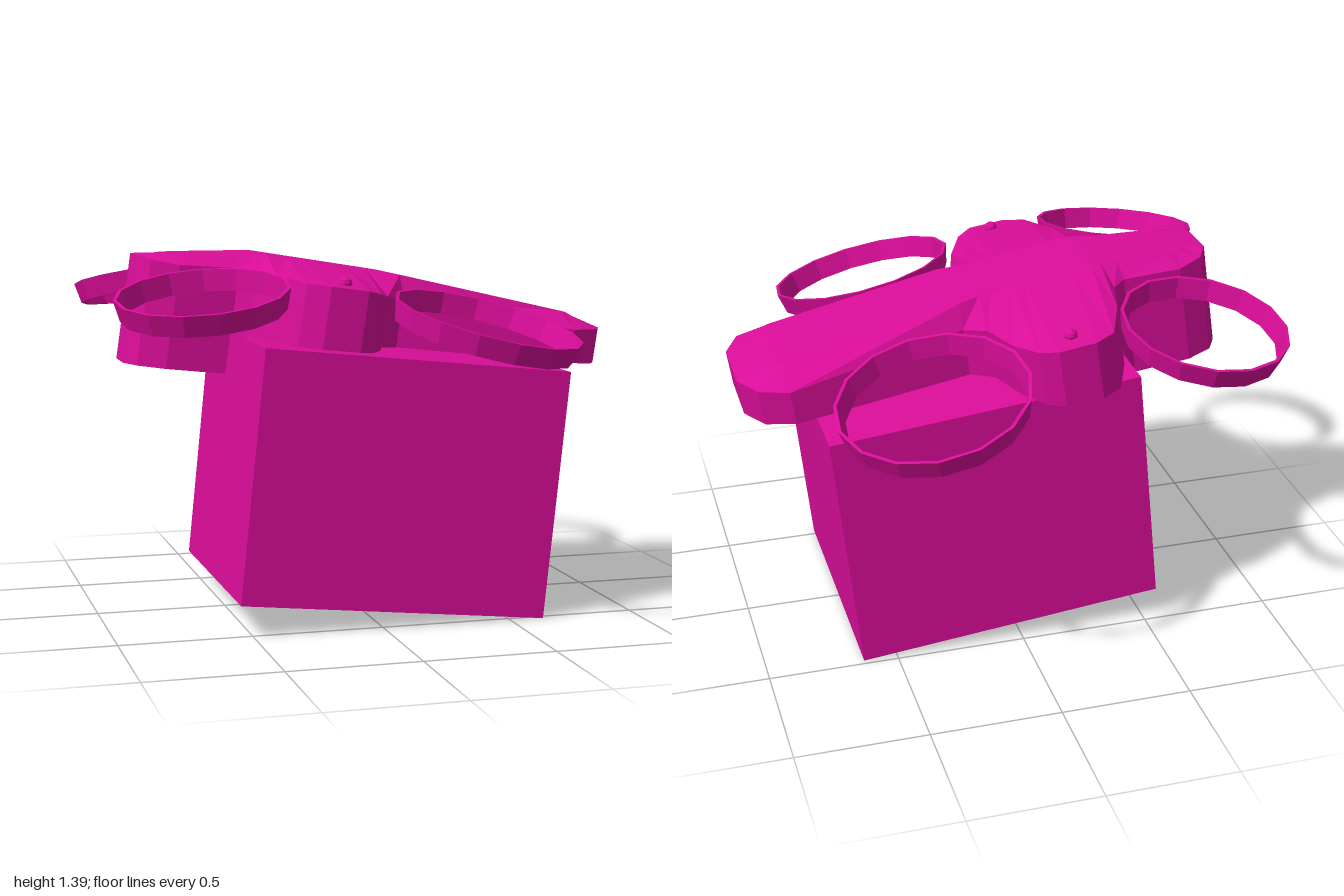
import * as THREE from 'three';

const material = new THREE.MeshStandardMaterial({ color: 0xd90d98, flatShading: true, side: THREE.DoubleSide });

function addMesh(parent, name, geometry, x = 0, y = 0, z = 0) {
  const mesh = new THREE.Mesh(geometry, material);
  mesh.name = name;
  mesh.position.set(x, y, z);
  parent.add(mesh);
  return mesh;
}

// Height of the body's top ridge, falling towards the nose
function ridgeY(x) {
  if (x < -0.37) return 1.395;
  if (x < 0.15) return THREE.MathUtils.mapLinear(x, -0.37, 0.15, 1.395, 1.31);
  return THREE.MathUtils.mapLinear(x, 0.15, 0.84, 1.31, 1.15);
}

// Height of the underside, with a deeper block at the tail
function undersideY(x) {
  return x < -0.45 ? 0.955 - 0.11 * (x + 0.52) : 1.045 - 0.107 * (x - 0.05);
}

// Half outline from nose to tail: rim x, z, y, then ridge x, z
const halfOutline = [
  [1.0, 0.13, 1.08, 0.85, 0.1],
  [0.94, 0.25, 1.085, 0.84, 0.17],
  [0.83, 0.3, 1.09, 0.82, 0.18],
  [0.16, 0.215, 1.22, 0.16, 0.17],
  [0.08, 0.28, 1.235, 0.08, 0.15],
  [0.03, 0.45, 1.245, 0.03, 0.14],
  [-0.03, 0.57, 1.265, -0.05, 0.15],
  [-0.09, 0.615, 1.28, -0.1, 0.15],
  [-0.23, 0.615, 1.3, -0.22, 0.15],
  [-0.31, 0.57, 1.31, -0.28, 0.15],
  [-0.38, 0.4, 1.33, -0.36, 0.15],
  [-0.42, 0.25, 1.34, -0.4, 0.14],
  [-0.475, 0.2, 1.345, -0.47, 0.13],
  [-0.7, 0.195, 1.36, -0.66, 0.13],
  [-0.8, 0.15, 1.38, -0.72, 0.11],
  [-0.84, 0.08, 1.393, -0.75, 0.06],
];

function bodyGeometry() {
  const count = halfOutline.length;
  const ridge = [], rim = [], base = [];
  const addStation = ([x, z, y, rx, rz], side) => {
    const by = undersideY(x);
    ridge.push([rx, ridgeY(rx), rz * side]);
    rim.push([x, y, z * side]);
    base.push([x - 0.15 * (y - by), by, z * side]);
  };
  halfOutline.forEach((p) => addStation(p, 1));
  [...halfOutline].reverse().forEach((p) => addStation(p, -1));

  const positions = [];
  const quad = (a, b, c, d) => positions.push(...a, ...b, ...c, ...a, ...c, ...d);
  const total = count * 2;
  for (let i = 0; i < total; i++) {
    const j = (i + 1) % total;
    quad(ridge[i], ridge[j], rim[j], rim[i]); // sloped shoulder
    quad(rim[i], rim[j], base[j], base[i]); // side wall
  }
  for (let i = 0; i < count - 1; i++) {
    const m = total - 1 - i;
    quad(ridge[i], ridge[m], ridge[m - 1], ridge[i + 1]); // top
    quad(base[i], base[i + 1], base[m - 1], base[m]); // underside
  }
  const geometry = new THREE.BufferGeometry();
  geometry.setAttribute('position', new THREE.Float32BufferAttribute(positions, 3));
  geometry.computeVertexNormals();
  return geometry;
}

// Thin, slightly tapered rotor guard with its top edge at y = 0
function guardGeometry(radius) {
  const profile = [
    [radius - 0.018, -0.08], [radius, 0], [radius - 0.013, 0],
    [radius - 0.03, -0.08], [radius - 0.018, -0.08],
  ].map(([x, y]) => new THREE.Vector2(x, y));
  return new THREE.LatheGeometry(profile, 15);
}

export function createModel() {
  const model = new THREE.Group();
  model.name = 'deliveryDrone';

  // Hanging cargo box
  const box = addMesh(model, 'cargoBox', new THREE.BoxGeometry(1.186, 0.95, 1.01), 0.09, 0.5425, 0.025);
  box.rotation.z = -0.104;

  // Cross-shaped body
  addMesh(model, 'body', bodyGeometry(), 0, 0, 0.01);

  // Rotor guards and arm bolts, mirrored; each guard leans outwards
  const up = new THREE.Vector3(0, 1, 0);
  for (const side of [1, -1]) {
    const label = side > 0 ? 'Front' : 'Back';
    const large = addMesh(model, 'largeGuard' + label, guardGeometry(0.36), 0.375, 1.17, side * 0.602 - 0.004);
    large.quaternion.setFromUnitVectors(up, new THREE.Vector3(0.21, 1, 0.18 * side).normalize());
    const small = addMesh(model, 'smallGuard' + label, guardGeometry(0.318), -0.68, 1.285, side * 0.52 + 0.004);
    small.quaternion.setFromUnitVectors(up, new THREE.Vector3(-0.11, 1, 0.18 * side).normalize());
    addMesh(model, 'armBolt' + label, new THREE.SphereGeometry(0.026, 10, 6), -0.157, 1.305, side * 0.535 + 0.008);
  }
  return model;
}
